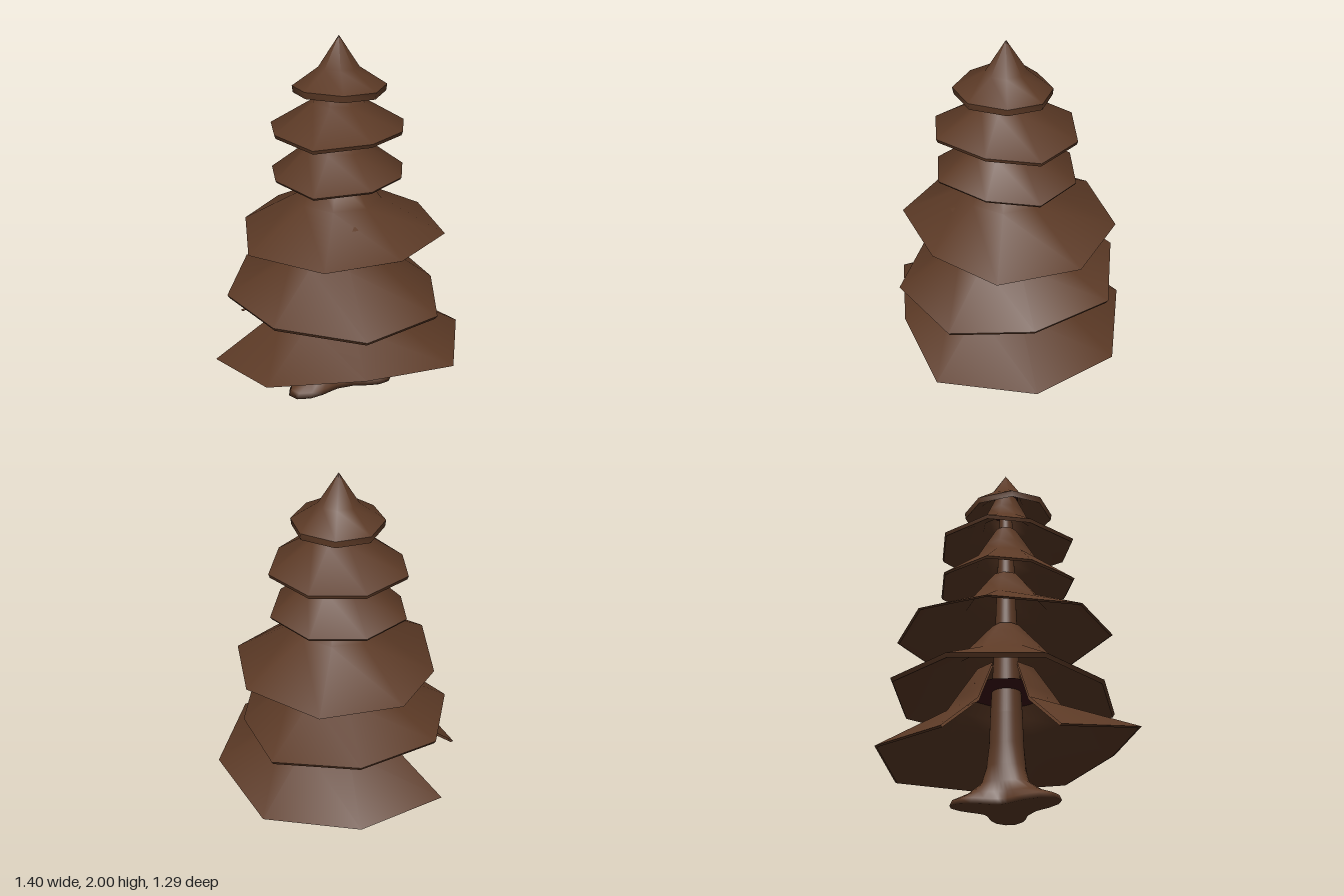
import * as THREE from 'three';

const bark = new THREE.MeshStandardMaterial({ color: 0x5c3a26, side: THREE.DoubleSide });
bark.name = 'brown';
const shade = new THREE.MeshStandardMaterial({ color: 0x3c1216, side: THREE.DoubleSide });
shade.name = 'dark maroon';

const AXIS_Z = 0.03; // the trunk stands slightly forward

// Skin a surface through rings of points, listed from top to bottom
function loft(name, rings, closed = true) {
  const n = rings[0].length;
  const index = [];
  for (let i = 0; i < rings.length - 1; i++) {
    for (let j = 0; j < (closed ? n : n - 1); j++) {
      const k = (j + 1) % n;
      const a = i * n + j, b = i * n + k, c = a + n, d = b + n;
      index.push(a, b, c, b, d, c);
    }
  }
  const geometry = new THREE.BufferGeometry();
  geometry.setAttribute('position', new THREE.Float32BufferAttribute(rings.flat(2), 3));
  geometry.setIndex(index);
  geometry.computeVertexNormals();
  const mesh = new THREE.Mesh(geometry, bark);
  mesh.name = name;
  return mesh;
}

// Branch tiers: top and mid rings as [radius, y], rim corners as [x, y, z]
const upperRim = [
  [-0.12, 1.505, -0.335], [0.17, 1.5, -0.31], [0.365, 1.51, -0.09], [0.31, 1.53, 0.18],
  [0.12, 1.545, 0.4], [-0.17, 1.515, 0.38], [-0.34, 1.51, 0.1], [-0.345, 1.505, -0.14],
];
const tiers = [
  {
    name: 'bottomTier', rings: [[0.16, 0.75], [0.27, 0.58], [0.32, 0.5]], lip: 0.006, cap: [0.22, 0.65], open: true,
    rim: [[-0.55, 0.24, -0.38], [-0.08, 0.275, -0.65], [0.44, 0.24, -0.5], [0.7, 0.285, -0.03],
      [0.56, 0.31, 0.49], [0.07, 0.345, 0.63], [-0.44, 0.335, 0.61], [-0.7, 0.23, 0.14]],
  },
  {
    name: 'secondTier', rings: [[0.08, 1.01], [0.14, 0.94], [0.26, 0.8]], lip: 0.02, cap: [0.15, 0.91],
    rim: [[-0.08, 0.64, -0.59], [0.38, 0.605, -0.47], [0.54, 0.58, -0.04], [0.48, 0.575, 0.41],
      [0.07, 0.58, 0.645], [-0.39, 0.585, 0.45], [-0.62, 0.605, 0.1], [-0.5, 0.62, -0.36]],
  },
  {
    name: 'thirdTier', rings: [[0.08, 1.32], [0.13, 1.26], [0.23, 1.13]], lip: 0.006, cap: [0.11, 1.275],
    rim: [[-0.3, 0.94, -0.48], [0.13, 0.93, -0.55], [0.5, 0.94, -0.28], [0.56, 0.938, 0.16],
      [0.27, 0.935, 0.46], [-0.14, 0.955, 0.59], [-0.5, 0.945, 0.32], [-0.5, 0.945, -0.17]],
  },
  {
    name: 'fourthTier', rings: [[0.06, 1.62], [0.13, 1.5], [0.175, 1.42]], lip: 0.012, cap: [0.1, 1.53],
    rim: upperRim.map(([x, y, z]) => [x, y - 0.25, z]),
  },
  {
    name: 'fifthTier', rings: [[0.05, 1.86], [0.105, 1.74], [0.14, 1.66]], lip: 0.02, cap: [0.085, 1.76],
    rim: upperRim,
  },
  {
    name: 'topTier', rings: [[0, 2], [0.105, 1.84]], lip: 0.035, cap: [0.07, 1.86],
    rim: [[0.03, 1.735, -0.205], [0.2, 1.745, -0.12], [0.245, 1.75, 0.06], [0.16, 1.755, 0.24],
      [-0.01, 1.76, 0.3], [-0.19, 1.755, 0.19], [-0.24, 1.745, 0.02], [-0.15, 1.735, -0.155]],
  },
];

function makeTier({ name, rings, rim, lip, cap, open }) {
  const group = new THREE.Group();
  group.name = name;
  const ringAt = ([r, y]) => rim.map(([x, , z]) => {
    const angle = Math.atan2(z - AXIS_Z, x);
    return [r * Math.cos(angle), y, AXIS_Z + r * Math.sin(angle)];
  });
  const lower = rim.map(([x, y, z]) => [x * 0.98, y - lip, z * 0.98]);
  const under = rings.map(([r, y]) => ringAt([Math.max(r - 0.006, 0), y - 0.012 - lip / 2]));
  group.add(loft('needles', [...rings.map(ringAt), rim], !open));
  group.add(loft('lip', [rim, lower], !open));
  group.add(loft('underside', [lower, ...under.reverse()], !open));

  // Dark hollow where the trunk enters the tier
  const hollow = new THREE.Mesh(new THREE.CircleGeometry(cap[0], 12), shade);
  hollow.name = 'hollow';
  hollow.rotation.x = Math.PI / 2;
  hollow.position.set(0, cap[1] - 0.02, AXIS_Z);
  group.add(hollow);
  return group;
}

// Trunk with three spreading roots: [y, radius, root reach]
function makeTrunk() {
  const roots = [[13, 0.98], [147, 1.25], [260, 0.95]]; // [angle, length]
  const sections = [
    [1.88, 0.03, 0], [1, 0.06, 0], [0.5, 0.085, 0], [0.34, 0.09, 0], [0.22, 0.1, 0.005],
    [0.13, 0.11, 0.025], [0.07, 0.12, 0.09], [0.03, 0.13, 0.165], [0, 0.135, 0.175], [0, 0, 0],
  ];
  const rings = sections.map(([y, r, reach]) => Array.from({ length: 36 }, (_, i) => {
    const angle = (i / 36) * Math.PI * 2;
    let radius = r;
    for (const [deg, length] of roots) {
      const facing = Math.max(0, Math.cos(angle - THREE.MathUtils.degToRad(deg)));
      radius += reach * length * facing ** 8;
    }
    return [radius * Math.cos(angle), y, AXIS_Z + radius * Math.sin(angle)];
  }));
  return loft('trunk', rings);
}

export function createModel() {
  const tree = new THREE.Group();
  tree.name = 'tree';
  tree.add(makeTrunk(), ...tiers.map(makeTier));
  return tree;
}
